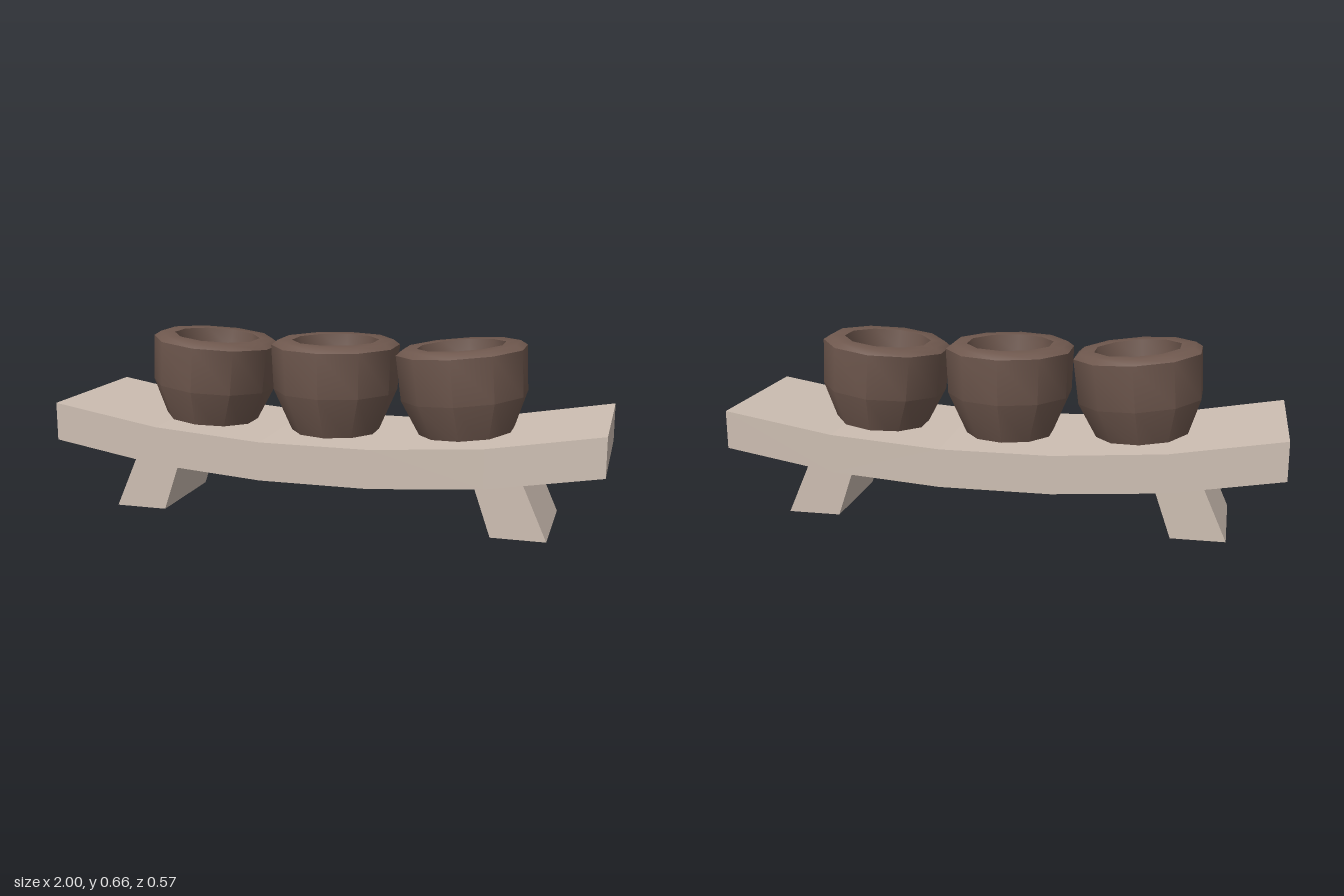
import * as THREE from 'three';
import { toCreasedNormals } from 'three/addons/utils/BufferGeometryUtils.js';

const wood = new THREE.MeshStandardMaterial({ color: 0xcdbeb2 });
const clay = new THREE.MeshStandardMaterial({ color: 0x6f584e });
const sauce = new THREE.MeshStandardMaterial({ color: 0x64743a });

// Extrudes a side outline across the depth, centred on z = 0
function slab(name, points, depth) {
  const shape = new THREE.Shape(points.map(([x, y]) => new THREE.Vector2(x, y)));
  const geometry = new THREE.ExtrudeGeometry(shape, { depth, bevelEnabled: false });
  geometry.translate(0, 0, -depth / 2);
  const mesh = new THREE.Mesh(geometry, wood);
  mesh.name = name;
  return mesh;
}

// Ten-sided bowl with a chamfered rim and its filling, origin at the base
function makeCup(name) {
  const cup = new THREE.Group();
  cup.name = name;
  const profile = [
    [0.153, 0], [0.23, 0.175], [0.237, 0.34],
    [0.213, 0.358], [0.16, 0.358], [0.15, 0.28],
  ].map(([r, y]) => new THREE.Vector2(r, y));
  const bowl = new THREE.Mesh(toCreasedNormals(new THREE.LatheGeometry(profile, 10), 0.7), clay);
  bowl.name = 'bowl';

  const surface = new THREE.CircleGeometry(0.152, 10, Math.PI / 2);
  surface.rotateX(-Math.PI / 2);
  const filling = new THREE.Mesh(surface, sauce);
  filling.name = 'filling';
  filling.position.y = 0.285;

  cup.add(bowl, filling);
  return cup;
}

export function createModel() {
  const model = new THREE.Group();
  model.name = 'servingTray';

  // Sagging board: five straight segments
  const xs = [-1, -0.6, -0.2, 0.2, 0.6, 1];
  const sag = [0.098, 0.03, 0, 0, 0.03, 0.098];
  const lower = xs.map((x, i) => [x, 0.167 + sag[i]]);
  const upper = xs.map((x, i) => [x, 0.307 + sag[i]]).reverse();
  model.add(slab('board', [...lower, ...upper], 0.574));

  // Splayed feet, running up into the board
  for (const [side, name] of [[1, 'leftFoot'], [-1, 'rightFoot']]) {
    const outline = [[0.615, 0], [0.81, 0], [0.7, 0.25], [0.53, 0.25]];
    model.add(slab(name, outline.map(([x, y]) => [x * side, y]), 0.392));
  }

  // Three cups; the outer two lean inward with the board
  for (const [side, name] of [[-1, 'rightCup'], [0, 'middleCup'], [1, 'leftCup']]) {
    const cup = makeCup(name);
    cup.position.set(side * 0.497, 0.285, 0);
    cup.rotation.z = side * 0.085;
    model.add(cup);
  }
  return model;
}
